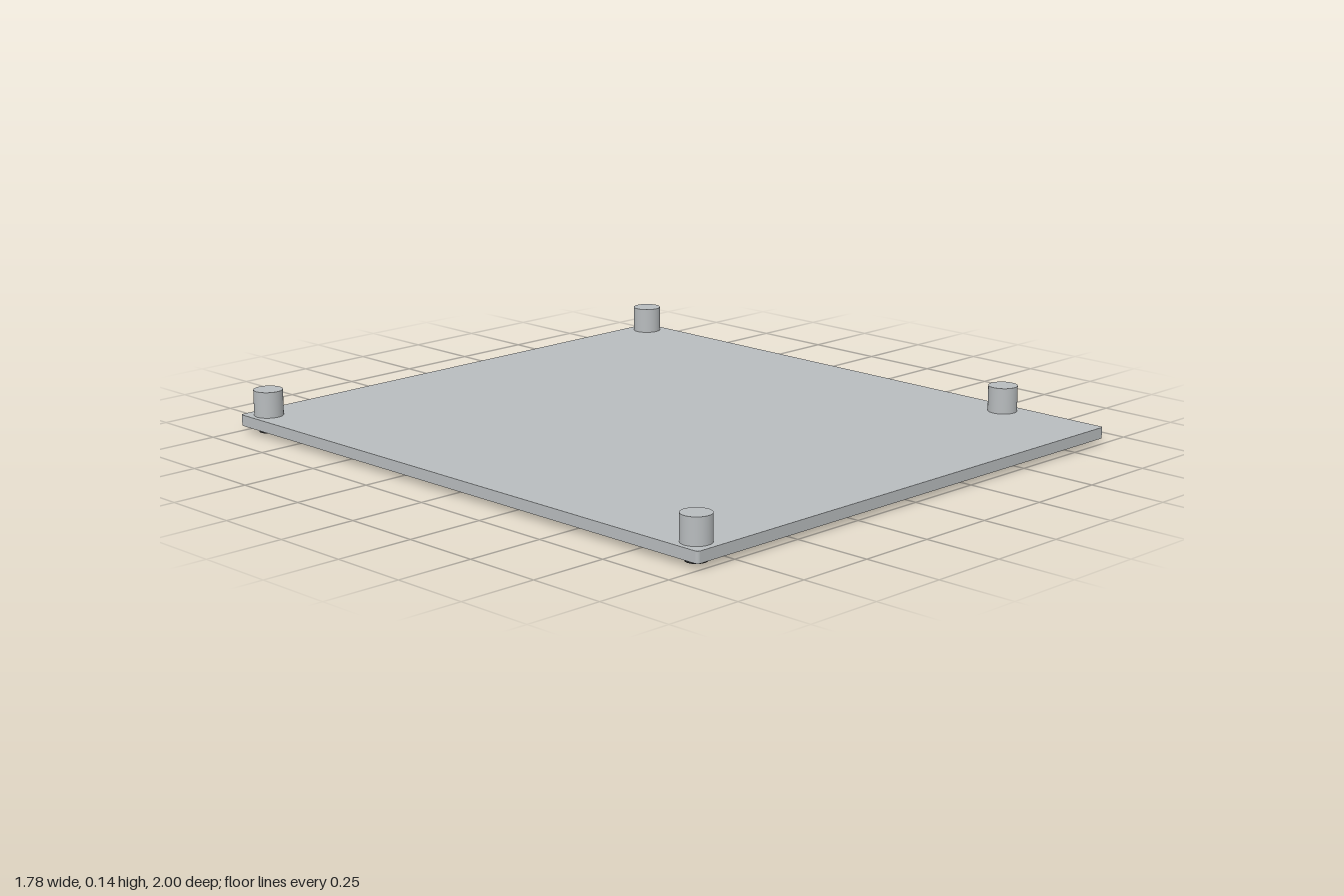
import * as THREE from 'three';

const mat = (name, color) => {
  const m = new THREE.MeshStandardMaterial({ color });
  m.name = name;
  return m;
};

// Extrude an outline drawn in (x, z) so it fills the heights from bottom to top
function slab(shape, bottom, top) {
  const g = new THREE.ExtrudeGeometry(shape, { depth: top - bottom, bevelEnabled: false, curveSegments: 24 });
  g.rotateX(Math.PI / 2);
  g.translate(0, top, 0);
  return g;
}

function roundedRect(w, d, r) {
  const s = new THREE.Shape();
  const x = w / 2, y = d / 2;
  s.absarc(x - r, y - r, r, 0, Math.PI / 2);
  s.absarc(r - x, y - r, r, Math.PI / 2, Math.PI);
  s.absarc(r - x, r - y, r, Math.PI, Math.PI * 1.5);
  s.absarc(x - r, r - y, r, Math.PI * 1.5, Math.PI * 2);
  s.closePath();
  return s;
}

const polygon = (pts) => new THREE.Shape(pts.map(([x, z]) => new THREE.Vector2(x, z)));

export function createModel() {
  const group = new THREE.Group();
  const metal = mat('brushed aluminium', 0xb8bcbe);
  const black = mat('black', 0x232323);
  const gold = mat('gold', 0xb0924c);

  const add = (name, geometry, material, parent = group) => {
    const mesh = new THREE.Mesh(geometry, material);
    mesh.name = name;
    parent.add(mesh);
    return mesh;
  };

  const plateBottom = 0.018, plateTop = 0.053;
  add('plate', slab(roundedRect(1.784, 2, 0.01), plateBottom, plateTop), metal);

  // Black pad under the plate, with two clipped front corners
  const pad = polygon([[0.82, -0.077], [0.82, 0.47], [0.55, 0.745], [-0.55, 0.745], [-0.82, 0.47], [-0.82, -0.077]]);
  add('blackPad', slab(pad, 0.012, plateBottom), black);

  // Thin gold label under the plate
  const label = polygon([[-0.735, -0.75], [-0.165, -0.75], [-0.165, -0.265], [-0.735, -0.265]]);
  add('goldLabel', slab(label, 0.0155, plateBottom), gold);

  // Standoffs with a socket-head screw below each
  const postGeo = new THREE.CylinderGeometry(0.046, 0.046, 0.135 - plateTop, 40);
  postGeo.translate(0, (0.135 + plateTop) / 2, 0);

  const headShape = new THREE.Shape().absarc(0, 0, 0.032, 0, Math.PI * 2);
  const hex = [];
  for (let i = 0; i < 6; i++) {
    const a = (-i * Math.PI) / 3;
    hex.push(new THREE.Vector2(0.018 * Math.cos(a), 0.018 * Math.sin(a)));
  }
  headShape.holes.push(new THREE.Path(hex));
  const headGeo = slab(headShape, 0, plateBottom);
  const socketGeo = new THREE.CylinderGeometry(0.02, 0.02, 0.004, 24);
  socketGeo.translate(0, plateBottom - 0.002, 0);

  for (const [x, z] of [[-0.83, -0.936], [0.83, -0.936], [0.83, 0.655], [-0.83, 0.934]]) {
    const mount = new THREE.Group();
    mount.name = 'mount';
    mount.position.set(x, 0, z);
    add('standoff', postGeo, metal, mount);
    add('screwHead', headGeo, black, mount);
    add('screwSocketFloor', socketGeo, black, mount);
    group.add(mount);
  }
  return group;
}
